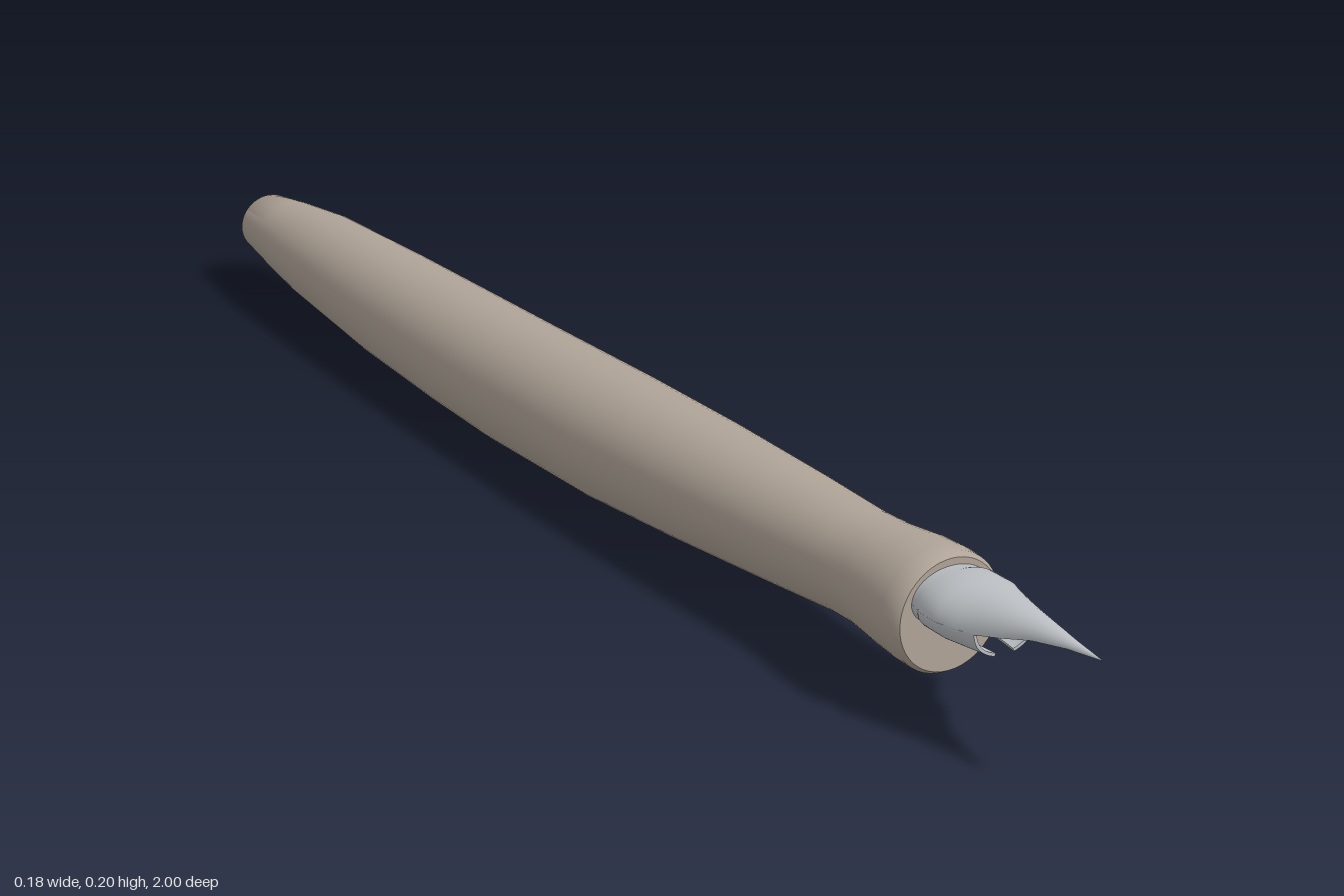
import * as THREE from 'three';
import { toCreasedNormals } from 'three/addons/utils/BufferGeometryUtils.js';

// Skin closed outlines (counter-clockwise, ordered back to front) and cap both ends.
function loft(sections, crease) {
  const n = sections[0].pts.length;
  const pos = [];
  const index = [];
  for (const { z, pts } of sections) for (const p of pts) pos.push(p.x, p.y, z);
  for (let j = 0; j < sections.length - 1; j++) {
    for (let i = 0; i < n; i++) {
      const k = (i + 1) % n;
      const a = j * n + i, b = j * n + k, c = b + n, d = a + n;
      index.push(a, b, c, a, c, d);
    }
  }
  const last = (sections.length - 1) * n;
  for (const [a, b, c] of THREE.ShapeUtils.triangulateShape(sections[0].pts, [])) index.push(a, c, b);
  for (const [a, b, c] of THREE.ShapeUtils.triangulateShape(sections[sections.length - 1].pts, [])) {
    index.push(last + a, last + b, last + c);
  }
  const geo = new THREE.BufferGeometry();
  geo.setAttribute('position', new THREE.Float32BufferAttribute(pos, 3));
  geo.setIndex(index);
  // Enlarged while creasing so that small details are not welded together.
  geo.scale(100, 100, 100);
  const out = toCreasedNormals(geo, crease);
  out.scale(0.01, 0.01, 0.01);
  return out;
}

// Full oval between a bottom and a top height.
function oval(z, bottom, top, halfWidth, n = 48) {
  const pts = [];
  for (let i = 0; i < n; i++) {
    const a = (i / n) * Math.PI * 2;
    pts.push(new THREE.Vector2(halfWidth * Math.cos(a), (top + bottom) / 2 + ((top - bottom) / 2) * Math.sin(a)));
  }
  return { z, pts };
}

// Thin curved strip of sheet metal; angles in degrees from the top towards +x.
function strip(z, halfWidth, cy, ry, from, to, thick, n = 24) {
  const pts = [];
  const add = (t, inset) => {
    const a = THREE.MathUtils.degToRad(from + (to - from) * t);
    pts.push(new THREE.Vector2((halfWidth - inset) * Math.sin(a), cy + (ry - inset) * Math.cos(a)));
  };
  for (let i = n; i >= 0; i--) add(i / n, 0);
  for (let i = 0; i <= n; i++) add(i / n, thick);
  return { z, pts };
}

export function createModel() {
  const group = new THREE.Group();
  const holderColour = new THREE.MeshStandardMaterial({ color: 0xb0a498 });
  holderColour.name = 'warm taupe';
  const steel = new THREE.MeshStandardMaterial({ color: 0xbcc0c4 });
  steel.name = 'light steel';

  const add = (name, geo, mat) => {
    const mesh = new THREE.Mesh(geo, mat);
    mesh.name = name;
    group.add(mesh);
  };

  // Holder: z, bottom, top, half width
  const holder = [
    [-1.0, 0.058, 0.131, 0.038],
    [-0.994, 0.052, 0.137, 0.045],
    [-0.92, 0.042, 0.147, 0.055],
    [-0.82, 0.029, 0.158, 0.066],
    [-0.6, 0.011, 0.166, 0.077],
    [-0.4, 0.004, 0.171, 0.083],
    [-0.25, 0.002, 0.175, 0.086],
    [0.0, 0.01, 0.183, 0.088],
    [0.2, 0.026, 0.188, 0.083],
    [0.4, 0.044, 0.19, 0.074],
    [0.54, 0.057, 0.19, 0.066],
    [0.59, 0.058, 0.193, 0.067],
    [0.65, 0.053, 0.2, 0.074],
    [0.69, 0.05, 0.202, 0.076],
    [0.712, 0.05, 0.201, 0.075],
    [0.72, 0.055, 0.196, 0.07],
  ].map((s) => oval(...s));
  add('holder', loft(holder, 0.7), holderColour);

  // Nib: z, half width, top, arch depth
  const nib = [
    [0.7, 0.054, 0.187, 0.037],
    [0.73, 0.055, 0.187, 0.037],
    [0.74, 0.06, 0.19, 0.04],
    [0.775, 0.06, 0.191, 0.042],
    [0.8, 0.052, 0.191, 0.043],
    [0.825, 0.043, 0.191, 0.04],
    [0.86, 0.032, 0.189, 0.031],
    [0.9, 0.02, 0.187, 0.019],
    [0.95, 0.009, 0.183, 0.008],
    [1.0, 0.0006, 0.18, 0.001],
  ].map(([z, w, top, h]) => strip(z, w, top - h, h, -90, 90, Math.min(0.004, Math.min(w, h) * 0.4)));
  add('nib', loft(nib, 0.9), steel);

  // Curled wings under the nib shoulders
  for (const [name, from, to] of [['leftWing', 88, 162], ['rightWing', -162, -88]]) {
    const wing = [
      [0.7, 0.054],
      [0.73, 0.055],
      [0.74, 0.06],
      [0.775, 0.06],
      [0.8, 0.052],
      [0.825, 0.043],
    ].map(([z, w]) => strip(z, w, 0.15, 0.034, from, to, 0.004, 14));
    add(name, loft(wing, 0.9), steel);
  }
  return group;
}
